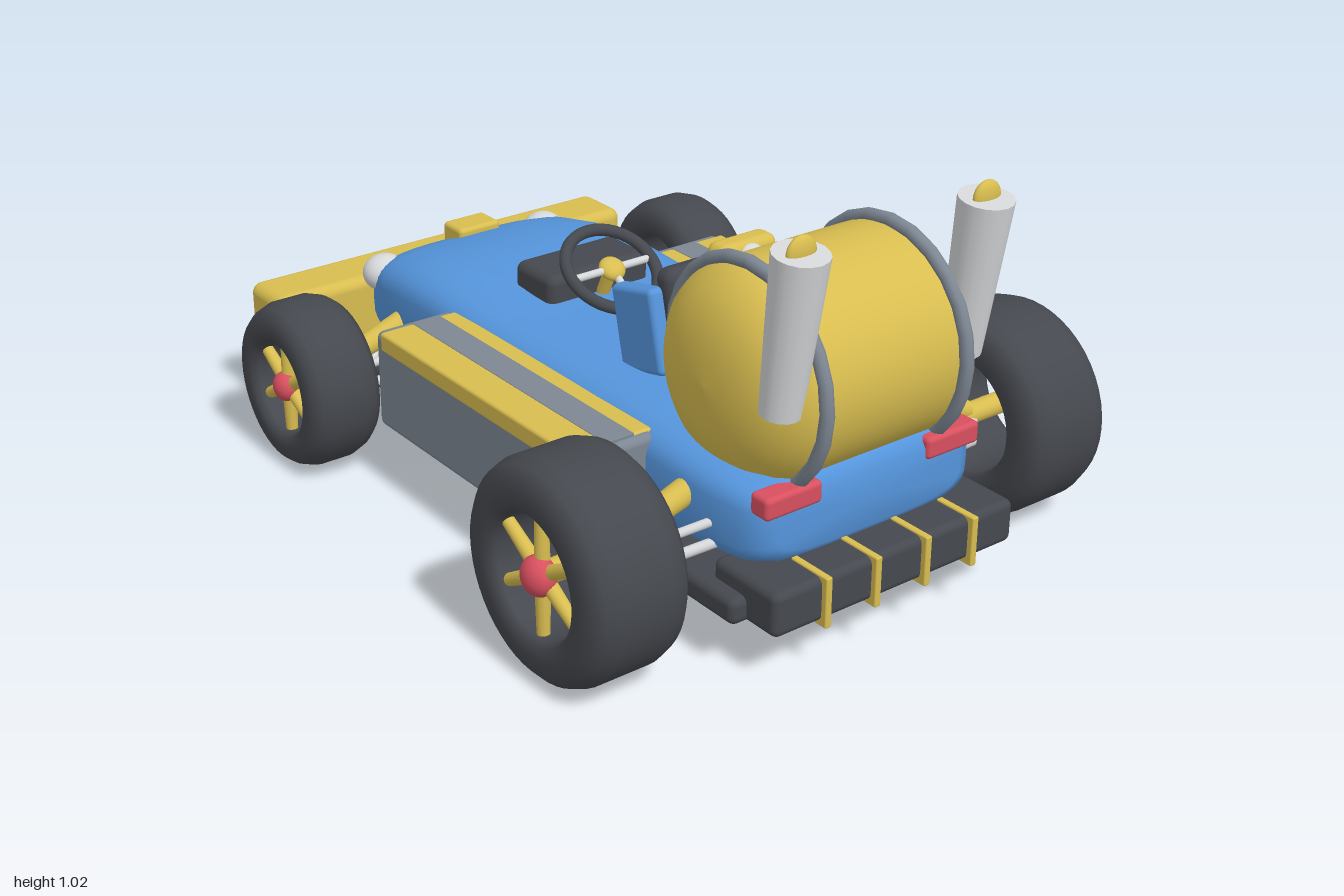
import * as THREE from 'three';
import { RoundedBoxGeometry } from 'three/addons/geometries/RoundedBoxGeometry.js';

const material = (name, color) => {
  const m = new THREE.MeshStandardMaterial({ color });
  m.name = name;
  return m;
};

export function createModel() {
  const yellow = material('yellow', 0xd8bd50), blue = material('blue', 0x5595dc);
  const dark = material('charcoal', 0x45484e), grey = material('steel grey', 0x7d8793);
  const white = material('silver', 0xd6d7d9), red = material('red', 0xd9505f);
  const car = new THREE.Group();
  car.name = 'kart';

  const add = (name, geometry, mat, pos = [0, 0, 0], parent = car) => {
    const mesh = new THREE.Mesh(geometry, mat);
    mesh.name = name;
    mesh.position.set(...pos);
    parent.add(mesh);
    return mesh;
  };
  // Rounded box given by its limits on each axis
  const box = (name, mat, [x0, x1], [y0, y1], [z0, z1], r = 0.015) =>
    add(name, new RoundedBoxGeometry(x1 - x0, y1 - y0, z1 - z0, 3, r), mat,
      [(x0 + x1) / 2, (y0 + y1) / 2, (z0 + z1) / 2]);
  // Round rod between two points
  const rod = (name, mat, from, to, r0, r1 = r0, parent = car) => {
    const a = new THREE.Vector3(...from), b = new THREE.Vector3(...to);
    const d = b.clone().sub(a);
    const mesh = add(name, new THREE.CylinderGeometry(r1, r0, d.length(), 16), mat,
      a.add(b).multiplyScalar(0.5).toArray(), parent);
    mesh.quaternion.setFromUnitVectors(new THREE.Vector3(0, 1, 0), d.normalize());
    return mesh;
  };
  const ball = (name, mat, pos, r, scale = [1, 1, 1], parent = car) => {
    const mesh = add(name, new THREE.SphereGeometry(r, 24, 16), mat, pos, parent);
    mesh.scale.set(...scale);
    return mesh;
  };

  // Body: rounded sections [z, half width, bottom, top] joined along z
  const stations = [
    [-0.825, 0, 0.3, 0.3], [-0.825, 0.2, 0.24, 0.36], [-0.8, 0.26, 0.22, 0.395], [-0.76, 0.3, 0.2, 0.42],
    [-0.68, 0.325, 0.18, 0.45], [-0.55, 0.34, 0.18, 0.475], [-0.4, 0.347, 0.18, 0.483],
    [-0.2, 0.352, 0.18, 0.468], [0, 0.355, 0.18, 0.463], [0.3, 0.355, 0.18, 0.468],
    [0.55, 0.355, 0.18, 0.46], [0.72, 0.35, 0.19, 0.445], [0.82, 0.335, 0.2, 0.435],
    [0.87, 0.31, 0.22, 0.42], [0.89, 0.27, 0.25, 0.39], [0.89, 0, 0.32, 0.32],
  ];
  const N = 40, verts = [], index = [];
  const soft = (v) => Math.sign(v) * Math.abs(v) ** 0.5;
  stations.forEach(([z, w, y0, y1], i) => {
    for (let j = 0; j < N; j++) {
      const t = (j / N) * Math.PI * 2;
      verts.push(w * soft(Math.cos(t)), (y0 + y1) / 2 + ((y1 - y0) / 2) * soft(Math.sin(t)), z);
      if (i < stations.length - 1) {
        const a = i * N + j, b = i * N + ((j + 1) % N);
        index.push(a, b, b + N, a, b + N, a + N);
      }
    }
  });
  const bodyGeo = new THREE.BufferGeometry();
  bodyGeo.setAttribute('position', new THREE.Float32BufferAttribute(verts, 3));
  bodyGeo.setIndex(index);
  bodyGeo.computeVertexNormals();
  add('body', bodyGeo, blue);

  // Floor and bumpers
  box('floor', dark, [-0.4, 0.4], [0.125, 0.19], [-0.78, 0.89], 0.02);
  box('rearBumper', dark, [-0.36, 0.36], [0.125, 0.235], [0.77, 0.985], 0.02);
  for (const x of [-0.22, -0.075, 0.075, 0.22])
    box('rearBumperBand', yellow, [x - 0.009, x + 0.009], [0.115, 0.24], [0.88, 1], 0.004);
  box('frontBumper', yellow, [-0.565, 0.565], [0.155, 0.35], [-0.97, -0.8], 0.03);
  for (let i = -2; i <= 2; i++) ball('bumperStud', white, [i * 0.205, 0.255, -0.973], 0.026);
  box('noseLatch', yellow, [-0.065, 0.065], [0.4, 0.468], [-0.775, -0.685], 0.012);

  // Wheel: tyre ring, six spokes and hub, outer side toward +x
  const wheel = (name, r, width, side, x, z) => {
    const g = new THREE.Group();
    g.name = name;
    g.position.set(side * x, r + 0.004, z);
    g.rotation.y = side < 0 ? Math.PI : 0;
    car.add(g);
    const h = width / 2, i = r * 0.56;
    const profile = [[i, -h + 0.02], [i + 0.01, -h + 0.004], [r * 0.72, -h], [r * 0.87, -h + 0.005],
      [r - 0.012, -h + 0.025], [r, -h + 0.06], [r, h - 0.06], [r - 0.012, h - 0.025], [r * 0.87, h - 0.005],
      [r * 0.72, h], [i + 0.01, h - 0.004], [i, h - 0.02], [i, -h + 0.02]];
    const tyre = new THREE.LatheGeometry(profile.map((p) => new THREE.Vector2(...p)), 48);
    add('tyre', tyre.rotateZ(-Math.PI / 2), dark, [0, 0, 0], g);
    for (let k = 0; k < 6; k++) {
      const a = (k * Math.PI) / 3, c = Math.cos(a), s = Math.sin(a), d = h - 0.04;
      rod('spoke', yellow, [d, 0, 0], [d, c * (i + 0.01), s * (i + 0.01)], 0.019, 0.015, g);
    }
    rod('axleEnd', yellow, [-h - 0.01, 0, 0], [h - 0.03, 0, 0], 0.028, 0.028, g);
    ball('hub', red, [h - 0.03, 0, 0], r * 0.18, [0.8, 1, 1], g);
  };

  for (const s of [-1, 1]) {
    const span = (a, b) => (s > 0 ? [a, b] : [-b, -a]);
    wheel('rearWheel', 0.262, 0.26, s, 0.638, 0.65);
    wheel('frontWheel', 0.218, 0.2, s, 0.606, -0.575);

    // Suspension arms
    for (const [z, y, spread] of [[0.65, 0.27, 0.1], [-0.575, 0.23, 0.08]]) {
      rod('axle', yellow, [s * 0.3, y + 0.085, z], [s * 0.53, y + 0.01, z], 0.034, 0.026);
      for (const k of [-1, 1]) {
        rod('wishbone', white, [s * 0.31, y - 0.015, z + k * spread], [s * 0.54, y - 0.07, z + k * 0.02], 0.013);
        rod('upperWishbone', white, [s * 0.31, y + 0.04, z + k * spread], [s * 0.54, y - 0.015, z + k * 0.02], 0.011);
      }
    }

    // Side pod with top trim
    box('sidePod', grey, span(0.32, 0.54), [0.165, 0.425], [-0.345, 0.52], 0.02);
    box('podTrim', yellow, span(0.318, 0.543), [0.38, 0.43], [-0.315, 0.5], 0.008);
    box('podPanel', grey, span(0.37, 0.45), [0.424, 0.432], [-0.315, 0.5], 0.002);

    // Lights
    ball('headlight', white, [s * 0.26, 0.37, -0.765], 0.06, [1, 0.85, 0.95]);
    box('tailLight', red, span(0.157, 0.318), [0.36, 0.415], [0.84, 0.9], 0.012);

    // Bumper brackets
    rod('bumperBracket', yellow, [s * 0.455, 0.18, -0.83], [s * 0.49, 0.165, -0.68], 0.024, 0.015);
    rod('bumperStay', yellow, [s * 0.37, 0.16, -0.7], [s * 0.46, 0.18, -0.83], 0.018);

    // Seat cheek
    add('seatCheek', new RoundedBoxGeometry(0.05, 0.21, 0.16, 3, 0.015), blue,
      [s * 0.18, 0.56, 0.285]).rotation.x = -0.23;

    // Exhaust stack with flap
    rod('exhaust', white, [s * 0.265, 0.6, 0.873], [s * 0.265, 0.98, 0.922], 0.048, 0.064);
    ball('exhaustFlap', yellow, [s * 0.265, 0.98, 0.922], 0.04, [1, 1, 0.4]);

    // Hoop around the tank
    add('tankHoop', new THREE.TorusGeometry(0.264, 0.017, 10, 24), grey, [s * 0.205, 0.605, 0.69])
      .rotation.y = Math.PI / 2;
  }

  // Tank lying across the back
  const end = [[0, 0.325], [0.06, 0.322], [0.11, 0.314], [0.16, 0.3], [0.2, 0.277], [0.235, 0.245], [0.257, 0.205]];
  const tankProfile = [...end.map(([r, x]) => [r, -x]), ...end.slice().reverse()];
  const tank = new THREE.LatheGeometry(tankProfile.map((p) => new THREE.Vector2(...p)), 48);
  add('tank', tank.rotateZ(-Math.PI / 2), yellow, [0, 0.603, 0.685]);
  box('tankCap', yellow, [-0.085, 0.085], [0.68, 0.79], [0.385, 0.455], 0.025);
  ball('tankCapKnob', white, [0, 0.755, 0.45], 0.035, [1, 0.8, 0.7]);

  // Seat back and dashboard
  add('seatBack', new RoundedBoxGeometry(0.34, 0.28, 0.07, 4, 0.03), dark, [0, 0.585, 0.362]).rotation.x = -0.23;
  box('dashboard', dark, [-0.155, 0.155], [0.44, 0.535], [-0.295, -0.13], 0.025);

  // Steering wheel, tilted toward the seat
  rod('steeringColumn', yellow, [0, 0.45, -0.13], [0, 0.545, -0.085], 0.017);
  const steering = new THREE.Group();
  steering.name = 'steeringWheel';
  steering.position.set(0, 0.542, -0.083);
  steering.rotation.x = -0.98;
  car.add(steering);
  add('steeringRim', new THREE.TorusGeometry(0.123, 0.016, 12, 40), dark, [0, 0, 0], steering);
  for (const a of [0, Math.PI, -Math.PI / 2])
    rod('steeringSpoke', white, [0, 0, 0], [Math.cos(a) * 0.12, Math.sin(a) * 0.12, 0], 0.01, 0.01, steering);
  ball('steeringHub', yellow, [0, 0, 0], 0.035, [1, 1, 0.6], steering);

  return car;
}
